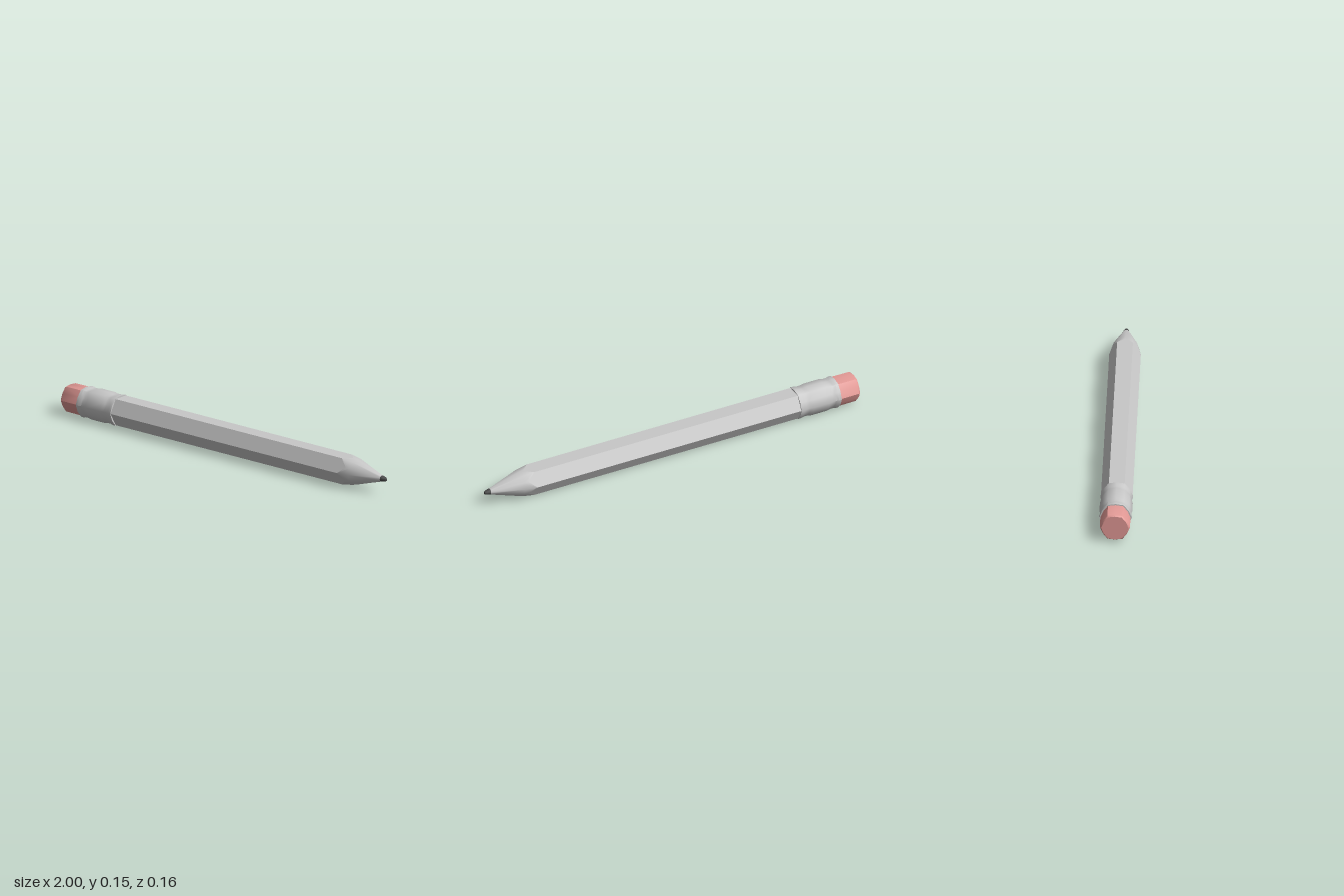
import * as THREE from 'three';
import { toCreasedNormals } from 'three/addons/utils/BufferGeometryUtils.js';

const SIDES = 12;
const AXIS_Y = 0.075;

// Loft 12-point rings along x. Ring: [x, corner radius, mid-face radius, optional mid-face x]
function loft(rings, crease) {
  const pos = [];
  const point = ([x, rc, rm, xm = x], k) => {
    const a = (k % SIDES) * Math.PI * 2 / SIDES;
    const mid = k % 2 === 1;
    const r = mid ? rm : rc;
    return [mid ? xm : x, AXIS_Y + r * Math.sin(a), r * Math.cos(a)];
  };
  const tri = (a, b, c) => {
    const same = (p, q) => Math.hypot(p[0] - q[0], p[1] - q[1], p[2] - q[2]) < 1e-6;
    if (!same(a, b) && !same(b, c) && !same(a, c)) pos.push(...a, ...b, ...c);
  };
  for (let i = 0; i < rings.length - 1; i++) {
    for (let k = 0; k < SIDES; k++) {
      const p0 = point(rings[i], k), p1 = point(rings[i], k + 1);
      const q0 = point(rings[i + 1], k), q1 = point(rings[i + 1], k + 1);
      // Mirror the diagonal on alternate faces so the hexagon stays symmetrical
      if (k % 2) { tri(p0, q0, p1); tri(p1, q0, q1); }
      else { tri(p0, q0, q1); tri(p0, q1, p1); }
    }
  }
  const geo = new THREE.BufferGeometry();
  geo.setAttribute('position', new THREE.Float32BufferAttribute(pos, 3));
  return toCreasedNormals(geo, crease);
}

export function createModel() {
  const group = new THREE.Group();
  const material = (name, color) => {
    const m = new THREE.MeshStandardMaterial({ color });
    m.name = name;
    return m;
  };
  const grey = material('light grey', 0xc8c8c8);
  const pink = material('eraser pink', 0xe39a96);
  const dark = material('graphite', 0x4a4a4a);

  const add = (name, mat, rings, crease = 0.75) => {
    const mesh = new THREE.Mesh(loft(rings, crease), mat);
    mesh.name = name;
    group.add(mesh);
  };

  // Eraser with a softly chamfered end
  add('eraser', pink, [
    [-1, 0, 0], [-1, 0.066, 0.062], [-0.992, 0.072, 0.067], [-0.88, 0.073, 0.068],
  ]);

  // Metal sleeve with a groove near each end
  add('ferrule', grey, [
    [-0.895, 0.06, 0.058], [-0.895, 0.078, 0.074], [-0.88, 0.079, 0.075],
    [-0.865, 0.075, 0.071], [-0.85, 0.075, 0.071], [-0.83, 0.079, 0.075],
    [-0.745, 0.079, 0.075], [-0.725, 0.075, 0.071], [-0.71, 0.075, 0.071],
    [-0.69, 0.079, 0.075], [-0.677, 0.079, 0.075], [-0.677, 0.06, 0.058],
  ]);

  // Hexagonal shaft, scalloped where it meets the sharpened cone
  add('shaft', grey, [
    [-0.69, 0.076, 0.0658], [0.75, 0.076, 0.0658, 0.79],
  ], 0.5);

  // Sharpened cone
  add('sharpenedCone', grey, [
    [0.75, 0.076, 0.0658, 0.79], [0.81, 0.066, 0.064], [0.97, 0.015, 0.015],
  ]);

  // Graphite point with a blunt end
  add('leadTip', dark, [
    [0.968, 0.013, 0.013], [0.97, 0.016, 0.016], [0.99, 0.011, 0.011],
    [0.998, 0.007, 0.007], [1, 0, 0],
  ]);

  return group;
}
